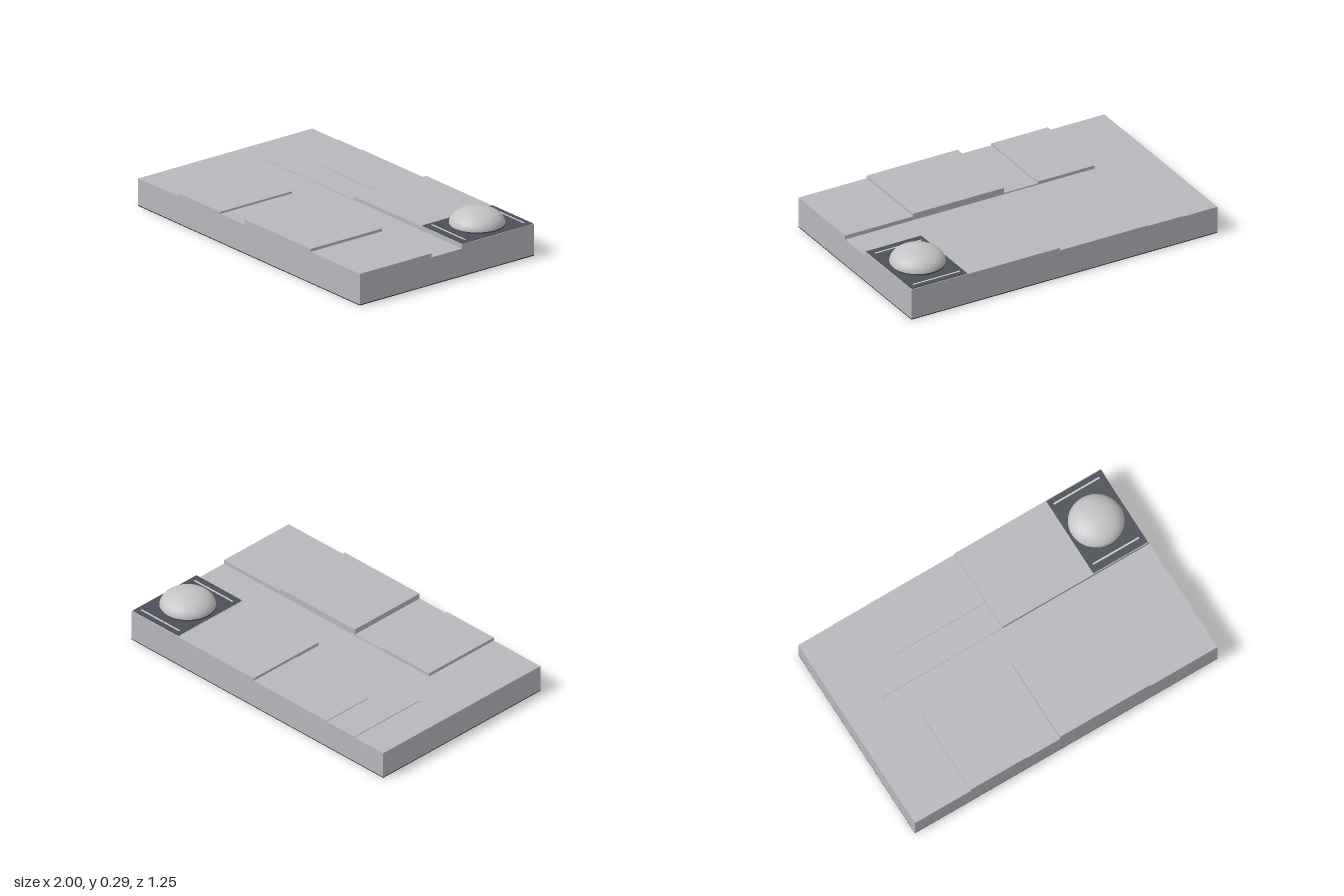
import * as THREE from 'three';

const material = (name, color) => {
  const m = new THREE.MeshStandardMaterial({ color });
  m.name = name;
  return m;
};

export function createModel() {
  const grey = material('panel grey', 0xb6b8bc);
  const dark = material('dark grey', 0x4d5058);
  const black = material('underside black', 0x28292e);
  const silver = material('dome silver', 0xc4c4c6);
  const light = material('stripe light grey', 0xc8cacc);

  const model = new THREE.Group();
  model.name = 'panel';

  const add = (name, geometry, mat) => {
    const mesh = new THREE.Mesh(geometry, mat);
    mesh.name = name;
    model.add(mesh);
    return mesh;
  };

  // Box given by its limits on each axis
  const slab = (name, mat, x0, x1, y0, y1, z0, z1) => {
    const mesh = add(name, new THREE.BoxGeometry(x1 - x0, y1 - y0, z1 - z0), mat);
    mesh.position.set((x0 + x1) / 2, (y0 + y1) / 2, (z0 + z1) / 2);
  };

  const D = 0.627, E = 0.11, TOP = 0.166;

  // Main block on its dark underside
  slab('underside', black, -1, 1, 0, 0.005, -D, D);
  slab('baseBlock', grey, -1, 1, 0.005, TOP, -D, D);

  // Raised panels along the front edge: x from, x to, height
  [
    [-0.63, -0.26, 0.186],
    [-0.26, -0.04, 0.174],
    [-0.04, 0.555, 0.207],
    [0.555, 1, 0.19],
  ].forEach(([x0, x1, y], i) => slab(`frontPanel${i + 1}`, grey, x0, x1, TOP, y, E, D));

  // Raised panels along the back edge
  slab('backLowPanel', grey, -0.77, 0.03, TOP, 0.17, -D, -E);
  slab('backInnerPanel', grey, -0.55, 0.03, 0.17, 0.174, -D, -0.29);
  slab('backHighPanel', grey, 0.03, 0.63, TOP, 0.19, -D, -E);

  // Dark mounting plate with its two stripes
  slab('turretBlock', grey, 0.63, 1, TOP, 0.192, -D, -E);
  slab('turretPlate', dark, 0.635, 0.995, 0.192, 0.196, -D + 0.005, -E - 0.005);
  for (const z of [-0.585, -0.162]) {
    slab('plateStripe', light, 0.66, 0.965, 0.196, 0.198, z - 0.005, z + 0.005);
  }

  // Flattened dome on a dark collar
  const collar = add('domeCollar', new THREE.CylinderGeometry(0.16, 0.16, 0.011, 48), dark);
  collar.position.set(0.81, 0.2, -0.37);
  const profile = [];
  for (let i = 0; i <= 16; i++) {
    const a = (i / 16) * Math.PI / 2;
    profile.push(new THREE.Vector2(0.16 * Math.cos(a), 0.091 * Math.sin(a)));
  }
  profile[16].x = 0;
  const dome = add('dome', new THREE.LatheGeometry(profile, 48), silver);
  dome.position.set(0.81, 0.204, -0.37);

  return model;
}
